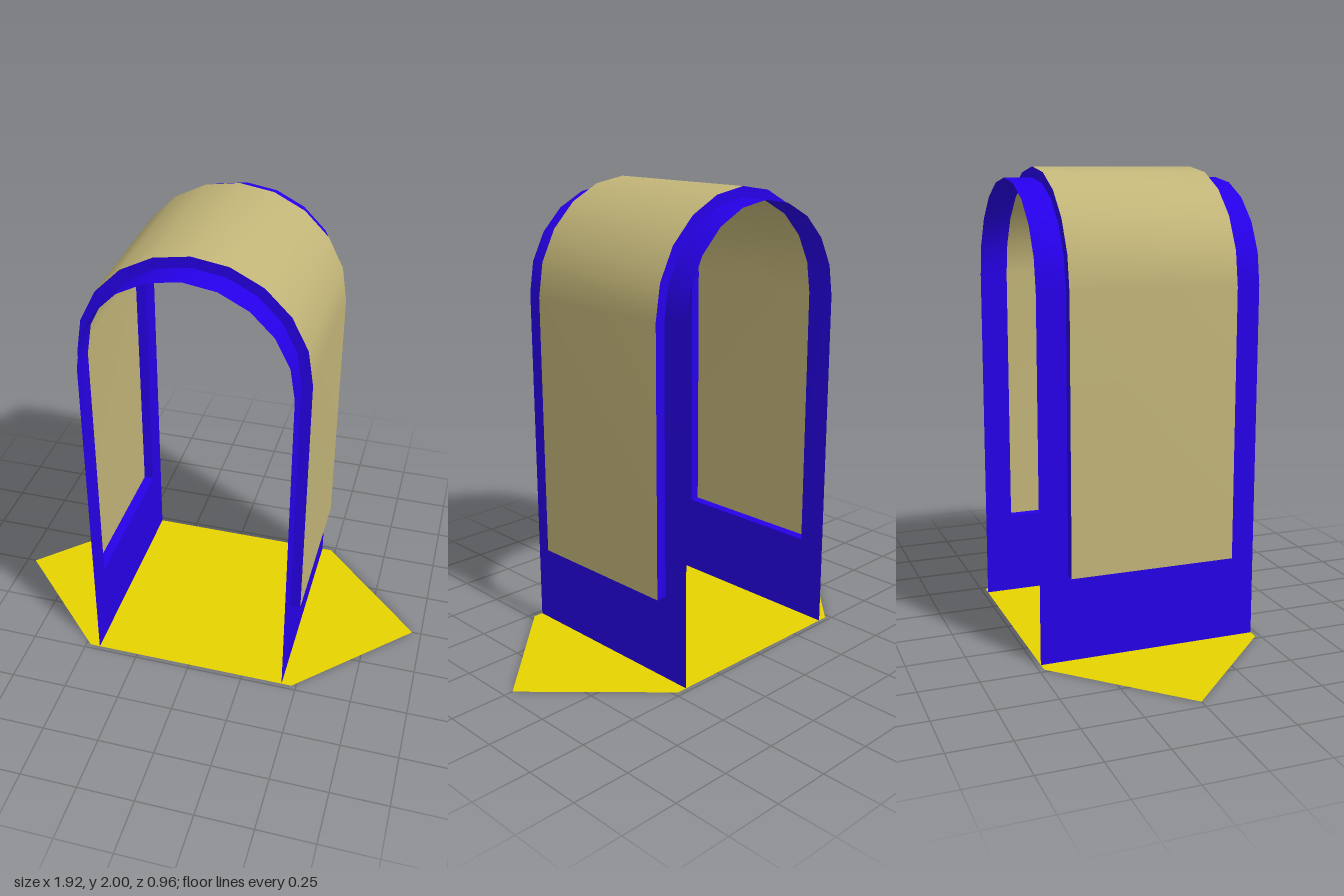
import * as THREE from 'three';

const INNER = 0.434, OUTER = 0.479; // radii of frame sheet and raised panel
const SPRING = 1.521;               // height where the arch begins
const SILL = 0.37;                  // bottom of the raised panel
const HALF = 0.479, PANEL = 0.358;  // half depths along z
const SEGMENTS = 10;

const material = (name, color) =>
  new THREE.MeshStandardMaterial({ name, color, side: THREE.DoubleSide });

// Arch outline in the xy plane, from the +x foot over the top to the -x foot
function archPoints(r, foot, z) {
  const pts = [new THREE.Vector3(r, foot, z)];
  for (let i = 0; i <= SEGMENTS; i++) {
    const a = (Math.PI * i) / SEGMENTS;
    pts.push(new THREE.Vector3(r * Math.cos(a), SPRING + r * Math.sin(a), z));
  }
  pts.push(new THREE.Vector3(-r, foot, z));
  return pts;
}

// Sheet spanning two lines of points, facing outward when a is in front of b
function strip(a, b) {
  const index = [];
  const n = a.length;
  for (let i = 0; i < n - 1; i++) {
    index.push(i, n + i, i + 1, i + 1, n + i, n + i + 1);
  }
  const geometry = new THREE.BufferGeometry().setFromPoints([...a, ...b]);
  geometry.setIndex(index);
  geometry.computeVertexNormals();
  return geometry;
}

export function createModel() {
  const group = new THREE.Group();
  group.name = 'archShelter';
  const blue = material('blue frame', 0x2600e8);
  const tan = material('tan panel', 0xc2b578);
  const yellow = material('yellow floor', 0xe6d400);

  const add = (name, geometry, mat) => {
    const mesh = new THREE.Mesh(geometry, mat);
    mesh.name = name;
    group.add(mesh);
    return mesh;
  };

  // Hexagonal floor sheet
  const hex = new THREE.Shape([
    [0.959, 0], [HALF, HALF], [-HALF, HALF],
    [-0.959, 0], [-HALF, -HALF], [HALF, -HALF],
  ].map(([x, y]) => new THREE.Vector2(x, y)));
  add('floor', new THREE.ShapeGeometry(hex).rotateX(-Math.PI / 2), yellow);

  // Raised panel running over the arch
  add('archPanel', strip(archPoints(OUTER, SILL, PANEL), archPoints(OUTER, SILL, -PANEL)), tan);

  for (const s of [1, -1]) {
    const end = s > 0 ? 'front' : 'back';

    // Frame band beside the panel
    const near = archPoints(INNER, SILL, s > 0 ? HALF : -PANEL);
    const far = archPoints(INNER, SILL, s > 0 ? PANEL : -HALF);
    add(end + 'FrameBand', strip(near, far), blue);

    // Rim joining the frame to the edge of the panel
    const inner = archPoints(INNER, SILL, s * PANEL);
    const outer = archPoints(OUTER, SILL, s * PANEL);
    add(end + 'Rim', s > 0 ? strip(outer, inner) : strip(inner, outer), blue);

    // Lower wall and the sill under the panel
    const side = s > 0 ? 'left' : 'right';
    const wall = add(side + 'LowerWall', new THREE.PlaneGeometry(2 * HALF, SILL), blue);
    wall.rotation.y = (s * Math.PI) / 2;
    wall.position.set(s * INNER, SILL / 2, 0);

    const sill = add(side + 'Sill', new THREE.PlaneGeometry(OUTER - INNER, 2 * PANEL), blue);
    sill.rotation.x = Math.PI / 2;
    sill.position.set((s * (INNER + OUTER)) / 2, SILL, 0);
  }
  return group;
}
